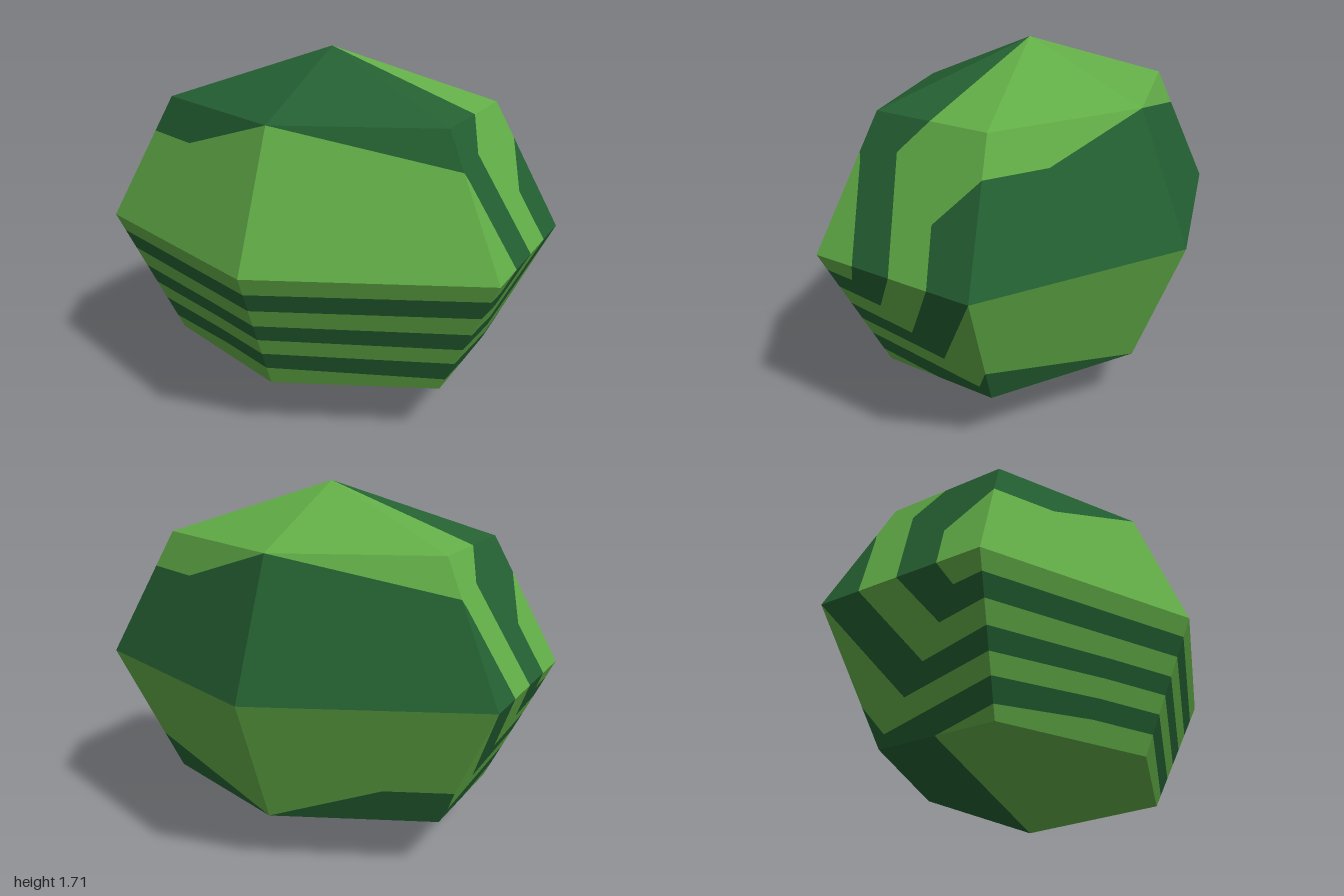
import * as THREE from 'three';

const MID = 0.855, RISE = 0.605, TOP = 1.71;
const k = (y) => 1 - 0.293 * Math.abs(y - MID) / RISE;   // ring scale at a height
const edge = (y) => 0.4275 * k(y);                        // half width of a side facet

// Facet planes: front facets are addressed by (x, y), side facets by (z, y)
const front = ([x, y]) => new THREE.Vector3(x, y, MID * k(y) - 0.4275 * Math.abs(x));
const side = ([z, y]) => new THREE.Vector3(k(y), y, z);

// Symmetries of the gem
const same = (p) => p;
const turnY = (p) => new THREE.Vector3(-p.x, p.y, -p.z);
const turnX = (p) => new THREE.Vector3(p.x, TOP - p.y, -p.z);
const mirrorX = (p) => new THREE.Vector3(-p.x, p.y, p.z);

export function createModel() {
  const group = new THREE.Group();
  const materials = {
    light: new THREE.MeshStandardMaterial({ color: 0x62ad47, name: 'leafGreen' }),
    dark: new THREE.MeshStandardMaterial({ color: 0x246032, name: 'forestGreen' }),
  };
  const parts = {};
  const other = { light: 'dark', dark: 'light' };

  // Add a triangle, wound to face outwards
  const centre = new THREE.Vector3(0, MID, 0);
  function triangle(part, colour, a, b, c) {
    const normal = b.clone().sub(a).cross(c.clone().sub(a));
    const out = a.clone().add(b).add(c).divideScalar(3).sub(centre);
    const list = ((parts[part] ??= {})[colour] ??= []);
    const order = normal.dot(out) > 0 ? [a, b, c] : [a, c, b];
    for (const p of order) list.push(p.x, p.y, p.z);
  }

  // Add a flat patch of one colour on a facet
  function patch(part, colour, points, plane, move = same) {
    const flat = points.map(([u, v]) => new THREE.Vector2(u, v));
    if (THREE.ShapeUtils.isClockWise(flat)) flat.reverse();
    const solid = flat.map((p) => move(plane([p.x, p.y])));
    for (const [a, b, c] of THREE.ShapeUtils.triangulateShape(flat, [])) {
      triangle(part, colour, solid[a], solid[b], solid[c]);
    }
  }

  // Alternating stripes between successive lines, starting with light
  function stripes(part, lines, plane, move) {
    for (let i = 0; i + 1 < lines.length; i++) {
      const outline = [...lines[i], ...[...lines[i + 1]].reverse()];
      patch(part, i % 2 ? 'dark' : 'light', outline, plane, move);
    }
  }

  // Crown and base: six-sided caps, split into a front and a back colour
  const r = k(MID + RISE), tz = MID * r, sz = edge(MID + RISE);
  const halfRing = [[-r, 0], [-r, sz], [0, tz], [r, sz], [r, 0]];
  for (const [part, tip, y, colours] of [
    ['crown', TOP, MID + RISE, ['dark', 'light']],
    ['base', 0, MID - RISE, ['light', 'dark']],
  ]) {
    const apex = new THREE.Vector3(0, tip, 0);
    [1, -1].forEach((s, n) => {
      for (let i = 0; i < 4; i++) {
        const [a, b] = [halfRing[i], halfRing[i + 1]].map(([x, z]) => new THREE.Vector3(x, y, z * s));
        triangle(part, colours[n], apex, a, b);
      }
    });
  }

  // Upper front facets; the back ones are turned round with colours exchanged
  const H = MID + RISE, L = MID - RISE, cut = 1.29, kc = k(cut);
  const upperFront = [
    ['dark', [[0, H], [r, H], [kc, cut]]],
    ['light', [[0, H], [kc, cut], [1, MID], [0, MID]]],
    ['dark', [[0, H], [-0.5, cut], [-kc, cut], [-r, H]]],
    ['light', [[0, H], [-0.5, cut], [-kc, cut], [-1, MID], [0, MID]]],
  ];
  const ec = edge(cut);
  const upperSide = [
    ['light', [[0.4275, MID], [ec, cut], [0.32, 1.25], [0.21, MID]]],
    ['dark', [[0.21, MID], [0.32, 1.25], [ec, cut], [sz, H], [0, H], [0.13, 1.32], [0, MID]]],
    ['light', [[0, MID], [0.13, 1.32], [0, H], [-sz, H], [-ec, cut], [-0.15, 1.09], [-0.21, MID]]],
    ['dark', [[-0.21, MID], [-0.15, 1.09], [-ec, cut], [-0.4275, MID]]],
  ];
  for (const [list, plane] of [[upperFront, front], [upperSide, side]]) {
    for (const [colour, points] of list) {
      patch('upperBand', colour, points, plane);
      patch('upperBand', other[colour], points, plane, turnY);
    }
  }

  // Lower front facets: three dark stripes
  const inner = [0.771, 0.682, 0.595, 0.513, 0.43, 0.343];
  const outer = [0.773, 0.68, 0.586, 0.496, 0.41, 0.311];
  const right = inner.map((y, i) => [[0, y], [k(outer[i]), outer[i]]]);
  const left = inner.map((y, i) => [[0, y], [-0.3, y], [-k(outer[i]), outer[i]]]);
  stripes('lowerBand', [[[0, MID], [1, MID]], ...right, [[0, L], [r, L]]], front);
  stripes('lowerBand', [[[0, MID], [-1, MID]], ...left, [[0, L], [-r, L]]], front);

  // Lower side facets: the stripes bend up to the equator
  const low = 0.425, el = edge(low);
  const starts = [
    [[0.21, MID], [0.265, 0.76]],
    [[0, MID], [0.156, 0.645]],
    [[-0.21, MID], [0.03, 0.527]],
    [[-0.4275, MID], [-0.105, 0.417]],
    [[-el, low], [-0.256, 0.302]],
  ];
  const bends = starts.map((line, i) => [...line, [edge(outer[i]), outer[i]]]);
  const hem = [edge(outer[5]), outer[5]];
  for (const move of [same, mirrorX]) {
    stripes('lowerBand', [[[0.4275, MID]], ...bends], side, move);
    patch('lowerBand', 'dark', [...bends[4], hem, [0, L], [-sz, L]], side, move);
    patch('lowerBand', 'light', [hem, [0, L], [sz, L]], side, move);
  }

  // Lower back facets repeat the upper front ones upside down
  for (const [colour, points] of upperFront) patch('lowerBand', colour, points, front, turnX);

  // One mesh for each part and colour
  for (const [part, colours] of Object.entries(parts)) {
    const holder = new THREE.Group();
    holder.name = part;
    for (const [colour, positions] of Object.entries(colours)) {
      const geometry = new THREE.BufferGeometry();
      geometry.setAttribute('position', new THREE.Float32BufferAttribute(positions, 3));
      geometry.computeVertexNormals();
      const mesh = new THREE.Mesh(geometry, materials[colour]);
      mesh.name = `${part} ${colour} facets`;
      holder.add(mesh);
    }
    group.add(holder);
  }
  return group;
}
